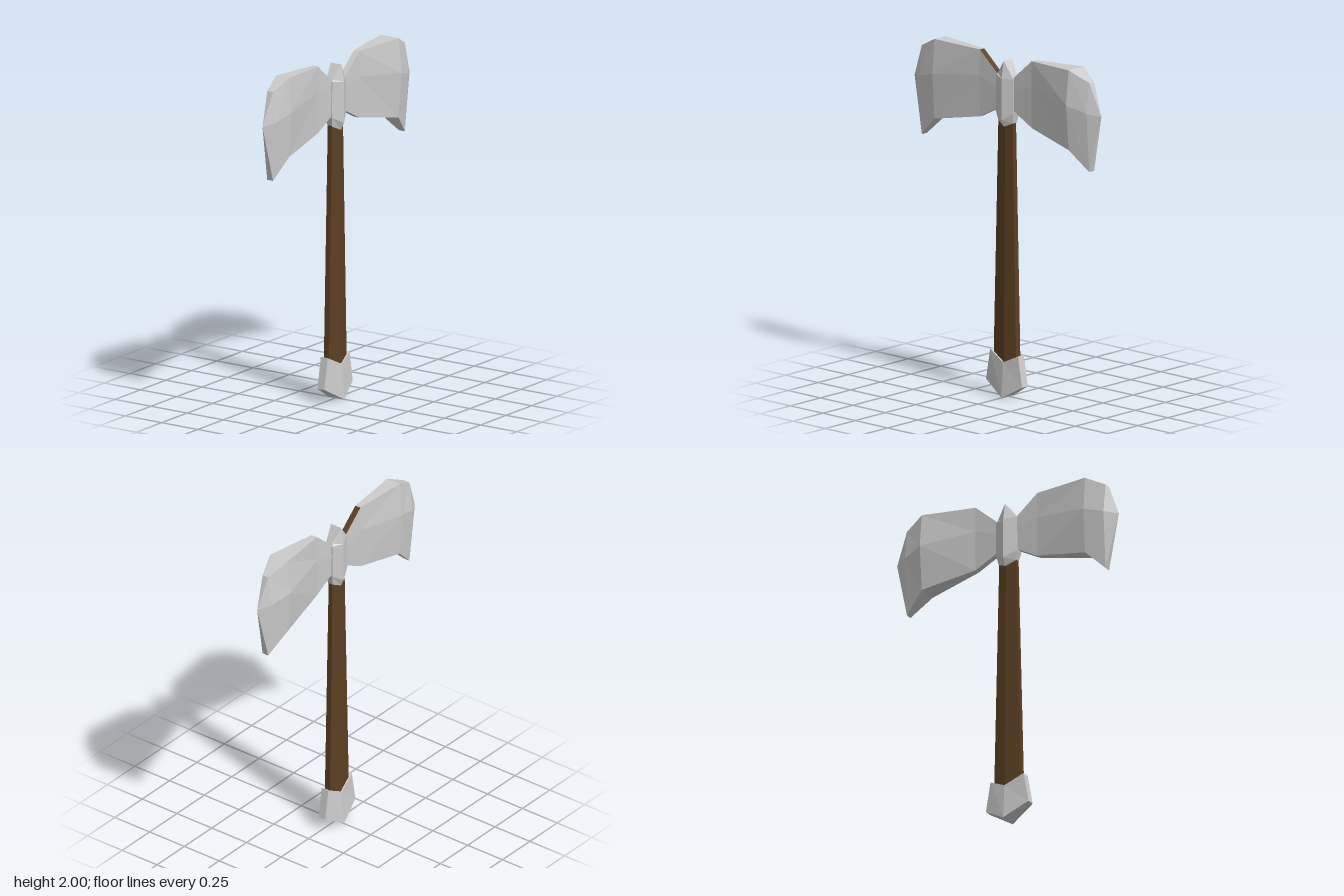
import * as THREE from 'three';

const steel = new THREE.MeshStandardMaterial({ color: 0xcccccc, flatShading: true });
const wood = new THREE.MeshStandardMaterial({ color: 0x5c3f22, flatShading: true, side: THREE.DoubleSide });

// Skins a row of six-point rings and caps both ends; skip(i, k) leaves a panel open
function loft(name, rings, material, skip = () => false) {
  const tris = [];
  const quad = (a, b, c, d) => tris.push([a, b, c], [a, c, d]);
  for (let i = 0; i < rings.length - 1; i++) {
    for (let k = 0; k < 6; k++) {
      const n = (k + 1) % 6;
      if (!skip(i, k)) quad(rings[i][k], rings[i][n], rings[i + 1][n], rings[i + 1][k]);
    }
  }
  const cap = (r) => { quad(r[5], r[4], r[1], r[0]); quad(r[4], r[3], r[2], r[1]); };
  cap(rings[0]);
  cap([...rings[rings.length - 1]].reverse());

  // Turn the faces outward whichever way the rings run
  const centre = new THREE.Vector3();
  rings.flat().forEach((p) => centre.add(p));
  centre.divideScalar(rings.length * 6);
  let volume = 0;
  for (const t of tris) {
    const [a, b, c] = t.map((p) => p.clone().sub(centre));
    volume += a.dot(b.cross(c));
  }
  const points = tris.flatMap(([a, b, c]) => (volume < 0 ? [a, c, b] : [a, b, c]));
  const geometry = new THREE.BufferGeometry().setFromPoints(points);
  geometry.computeVertexNormals();
  const mesh = new THREE.Mesh(geometry, material);
  mesh.name = name;
  return mesh;
}

// Ring from three front points [x, y, z], mirrored to the back
const ring = (...front) => [
  ...front.map(([x, y, z]) => new THREE.Vector3(x, y, z)),
  ...[...front].reverse().map(([x, y, z]) => new THREE.Vector3(x, y, -z)),
];

// Level ring around the shaft: left and right corners with a ridge in the middle
const shaftRing = (xl, yl, xr, yr, zs, ym, zm) => ring([xl, yl, zs], [0, ym, zm], [xr, yr, zs]);

// Blade cross-section: top edge, middle ridge, bottom edge
const bladeRing = (x, top, mid, bottom, zEdge, zMid) =>
  ring([x, top, zEdge], [x, mid, zMid], [x, bottom, zEdge]);

function bladeRings(side, zEdge, zMid) {
  return [
    bladeRing(side * 0.05, 1.86, 1.79, 1.68, 0.018, 0.02),
    bladeRing(side * 0.2, 1.99, 1.84, 1.6, 0.018, 0.022),
    bladeRing(side * 0.525, 2.0, 1.8, 1.535, zEdge, zMid),
    bladeRing(side * 0.645, 1.94, 1.765, 1.42, 0.02, 0.045),
    bladeRing(side * 0.72, 1.75, 1.75, 1.75, 0, 0),
  ];
}

export function createModel() {
  const axe = new THREE.Group();
  axe.name = 'doubleAxe';

  // Tapered wooden handle
  axe.add(loft('handle', [
    shaftRing(0.08, 0.18, -0.095, 0.18, 0.018, 0.18, 0.034),
    shaftRing(0.048, 1.65, -0.06, 1.65, 0.014, 1.65, 0.024),
  ], wood));

  // Pointed pommel
  axe.add(loft('pommel', [
    shaftRing(0.13, 0.075, -0.147, 0.082, 0.024, 0, 0.055),
    shaftRing(0.1, 0.253, -0.115, 0.262, 0.024, 0.205, 0.042),
  ], steel));

  // Ridged collar holding the blades
  axe.add(loft('collar', [
    shaftRing(0.052, 1.6, -0.06, 1.605, 0.016, 1.577, 0.036),
    shaftRing(0.064, 1.66, -0.073, 1.66, 0.024, 1.62, 0.055),
    shaftRing(0.064, 1.86, -0.07, 1.87, 0.024, 1.86, 0.055),
    shaftRing(0.055, 1.875, -0.06, 1.88, 0.018, 1.96, 0.036),
  ], steel));

  // Two blades, the left one thicker
  axe.add(loft('leftBlade', bladeRings(1, 0.062, 0.085), steel));
  const right = bladeRings(-1, 0.045, 0.062);
  axe.add(loft('rightBlade', right, steel, (i, k) => i === 0 && k === 5));

  // Wooden strip along the inner top of the right blade
  const [a, b, c, d] = [right[0][5], right[0][0], right[1][0], right[1][5]];
  const stripGeometry = new THREE.BufferGeometry().setFromPoints([a, b, c, a, c, d]);
  stripGeometry.computeVertexNormals();
  const strip = new THREE.Mesh(stripGeometry, wood);
  strip.name = 'bladeStrip';
  axe.add(strip);

  return axe;
}
